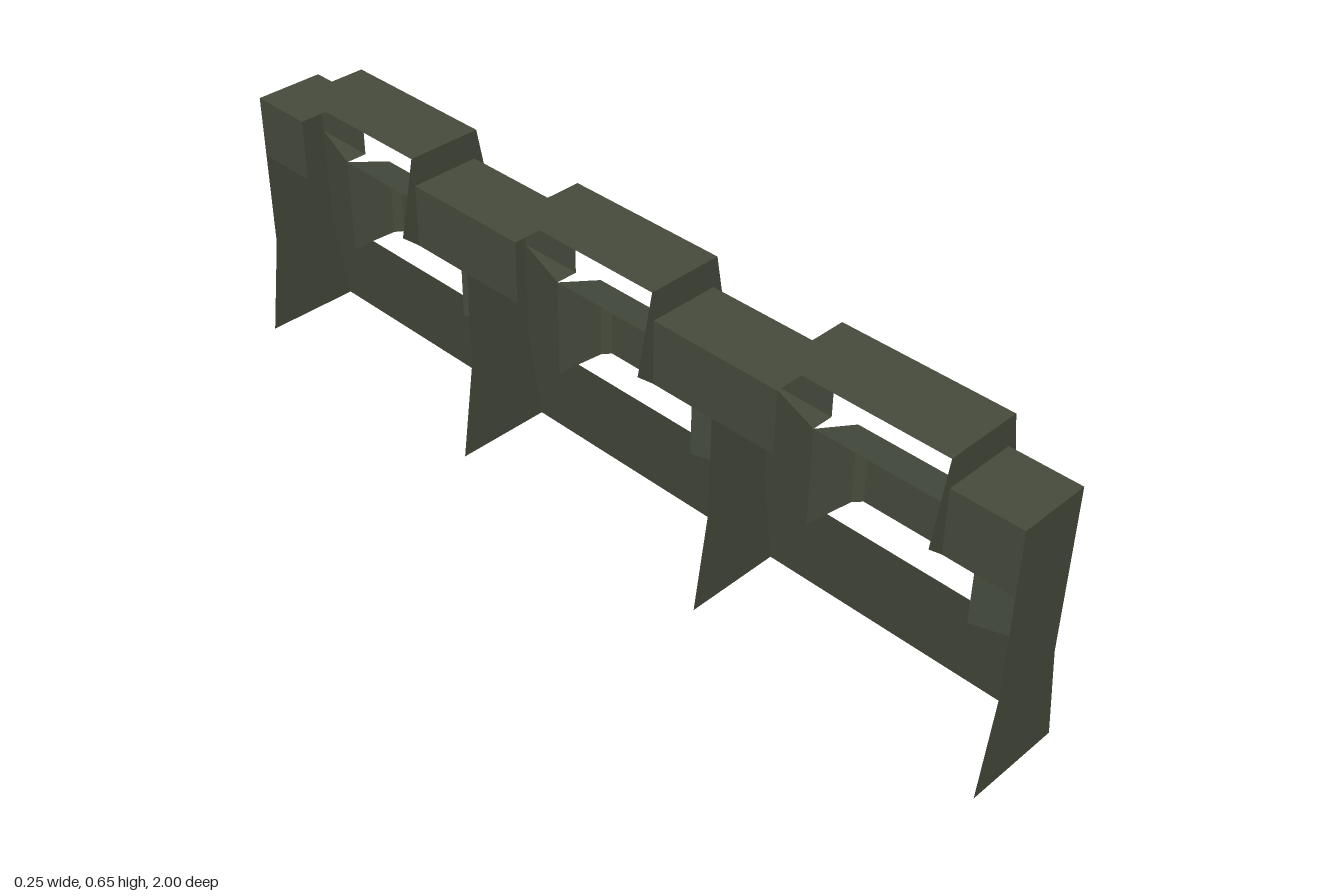
import * as THREE from 'three';

const BAY = 2 / 3;      // length of one bay
const HALF = BAY / 2;
const WIN = 0.185;      // half width of window and cap

export function createModel() {
  const model = new THREE.Group();
  const paint = new THREE.MeshStandardMaterial({ color: 0x464c3d, side: THREE.DoubleSide });
  paint.name = 'olive metal';
  const outer = new THREE.MeshStandardMaterial({ color: 0x464c3d });
  outer.name = 'olive metal outer faces';

  // Flat-faced sheet lofted through rows of [x, y, z] points
  function sheet(name, rows, parent) {
    const pos = [];
    for (let i = 0; i + 1 < rows.length; i++) {
      for (let j = 0; j + 1 < rows[i].length; j++) {
        const a = rows[i][j], b = rows[i + 1][j], c = rows[i + 1][j + 1], d = rows[i][j + 1];
        pos.push(...a, ...b, ...c, ...a, ...c, ...d);
      }
    }
    const geo = new THREE.BufferGeometry();
    geo.setAttribute('position', new THREE.Float32BufferAttribute(pos, 3));
    geo.computeVertexNormals();
    const mesh = new THREE.Mesh(geo, paint);
    mesh.name = name;
    parent.add(mesh);
  }
  // Profile in x, y stretched between two z values
  const run = (name, profile, z0, z1, parent) =>
    sheet(name, [z0, z1].map(z => profile.map(([x, y]) => [x, y, z])), parent);
  const flat = pts => new THREE.ShapeGeometry(
    new THREE.Shape(pts.map(([x, y]) => new THREE.Vector2(x, y))));

  // Upright plates between the bays and at both ends
  const postGeo = flat([[-0.117, 0], [0.104, 0], [0.072, 0.222], [0.072, 0.585],
    [-0.085, 0.585], [-0.085, 0.222]]);
  for (let i = 0; i < 4; i++) {
    const post = new THREE.Mesh(postGeo, paint);
    post.name = 'post';
    post.position.z = -1 + i * BAY;
    model.add(post);
  }

  // Sloping skirt along the whole outer side
  run('lowerPanel', [[0.104, 0], [0.072, 0.222]], 1, -1, model);

  // Rim that joins each cap to the narrower top rail
  const rim = [[0.08, 0.648], [-0.09, 0.648], [-0.125, 0.48], [-0.085, 0.445],
    [-0.085, 0.585], [0.072, 0.585], [0.072, 0.445], [0.112, 0.48]];
  const rimFront = flat(rim);
  const rimBack = flat(rim.map(([x, y]) => [-x, y]));

  // Plan outline of the bulging panel: x, half width, bottom and top
  const rings = [[0.022, WIN, 0.2235, 0.445], [0.11, 0.153, 0.243, 0.425],
    [0.124, 0.135, 0.247, 0.405]];

  for (let i = -1; i <= 1; i++) {
    const bay = new THREE.Group();
    bay.name = 'bay';
    bay.position.z = i * BAY;
    model.add(bay);

    // Cap: top and outer slope, open on the inner side
    run('cap', [[0.112, 0.48], [0.08, 0.648], [-0.09, 0.648]], WIN, -WIN, bay);
    for (const s of [1, -1]) {
      const end = new THREE.Mesh(s > 0 ? rimFront : rimBack, outer);
      end.name = 'capEnd';
      end.position.z = s * WIN;
      if (s < 0) end.rotation.y = Math.PI;
      bay.add(end);

      // Top rail beside the cap
      run('topRail', [[0.072, 0.445], [0.072, 0.585], [-0.085, 0.585], [-0.085, 0.445]],
        s > 0 ? HALF : -WIN, s > 0 ? WIN : -HALF, bay);

      // Wall receding from the post to the window, with sill and lintel
      sheet('recessedWall', [
        [[0.072, 0.222, s * HALF], [0.072, 0.445, s * HALF]],
        [[0.022, 0.222, s * WIN], [0.022, 0.445, s * WIN]]], bay);
      for (const y of [0.222, 0.445]) {
        sheet(y < 0.3 ? 'sill' : 'lintel', [
          [[0.072, y, s * HALF], [0.072, y, s * HALF]],
          [[0.022, y, s * WIN], [0.072, y, s * WIN]]], bay);
      }

      // Angled side of the bulging panel
      sheet('bulgeSide', rings.map(([x, w, y0, y1]) =>
        [[x, y0, s * w], [x, y1, s * w]]), bay);
    }

    // Face and chamfered top of the bulging panel, open underneath
    const [x, w, y0] = rings[2];
    sheet('bulgeFace', [
      [[x, y0, w], [x, y0, -w]],
      ...[...rings].reverse().map(([rx, rw, , top]) => [[rx, top, rw], [rx, top, -rw]])], bay);
  }
  return model;
}
